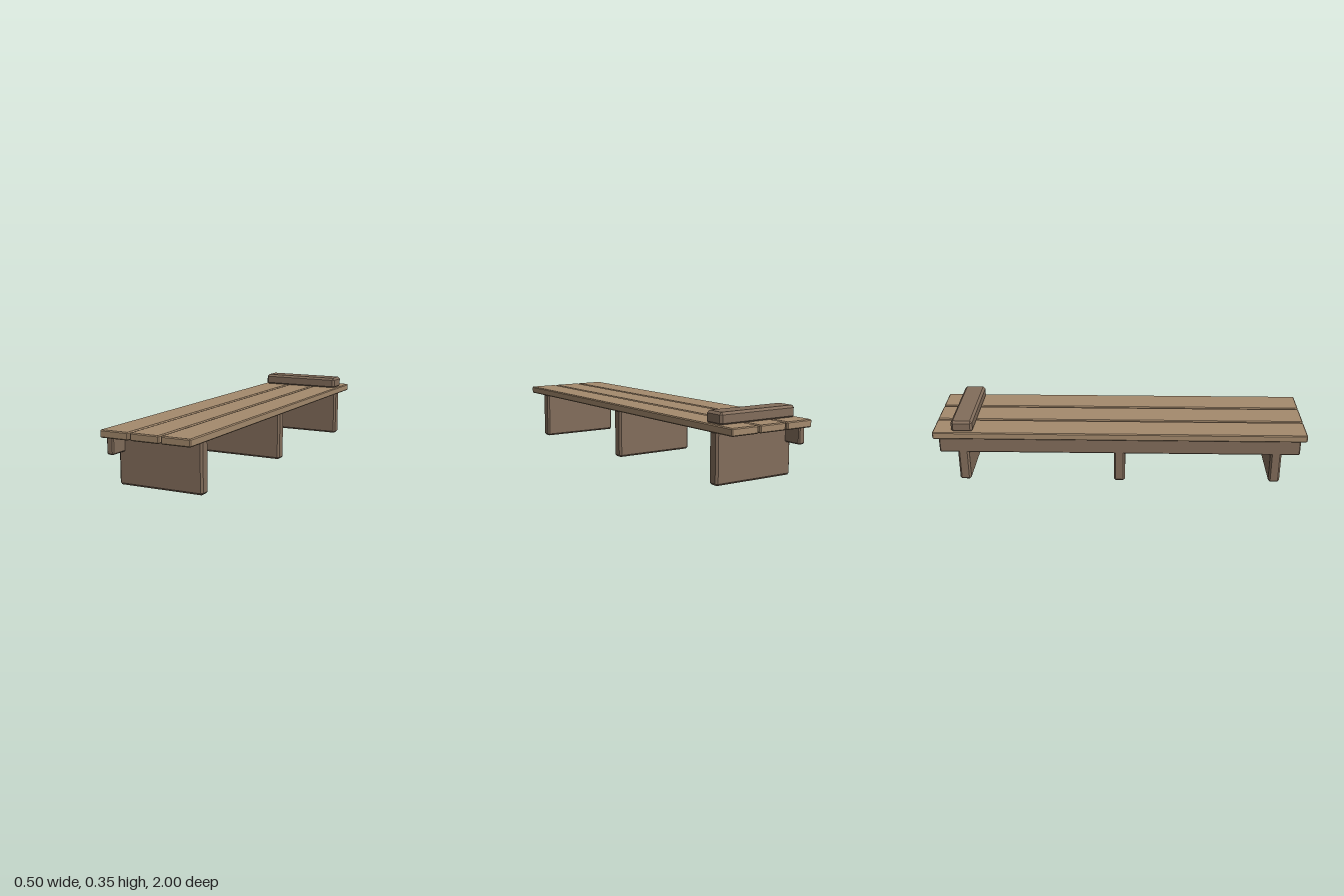
import * as THREE from 'three';
import { ConvexGeometry } from 'three/addons/geometries/ConvexGeometry.js';

const plankWood = new THREE.MeshStandardMaterial({ color: 0xa48a6d });
plankWood.name = 'light plank wood';
const frameWood = new THREE.MeshStandardMaterial({ color: 0x826d5b });
frameWood.name = 'dark frame wood';

// Box with flat chamfers of size c on every edge
function chamferBox(w, h, d, c) {
  const points = [];
  const half = [w / 2, h / 2, d / 2];
  for (const sx of [-1, 1]) for (const sy of [-1, 1]) for (const sz of [-1, 1]) {
    for (let axis = 0; axis < 3; axis++) {
      // only the chosen axis reaches the full extent
      const e = half.map((v, i) => (i === axis ? v : v - c));
      points.push(new THREE.Vector3(sx * e[0], sy * e[1], sz * e[2]));
    }
  }
  return new ConvexGeometry(points);
}

export function createModel() {
  const bench = new THREE.Group();
  bench.name = 'bench';

  // Adds a chamfered board given its extents along each axis
  function board(name, material, [x0, x1], [y0, y1], [z0, z1], chamfer) {
    const mesh = new THREE.Mesh(chamferBox(x1 - x0, y1 - y0, z1 - z0, chamfer), material);
    mesh.position.set((x0 + x1) / 2, (y0 + y1) / 2, (z0 + z1) / 2);
    mesh.name = name;
    bench.add(mesh);
  }

  // Three long seat planks
  ['right', 'middle', 'left'].forEach((side, i) => {
    const x = (i - 1) * 0.169;
    board(side + 'SeatPlank', plankWood, [x - 0.079, x + 0.079], [0.255, 0.294], [-1, 1], 0.005);
  });

  // Three cross panels as legs
  ['back', 'middle', 'front'].forEach((place, i) => {
    const z = (i - 1) * 0.843;
    board(place + 'Leg', frameWood, [-0.233, 0.233], [0, 0.261], [z - 0.03, z + 0.03], 0.01);
  });

  // Single stretcher under the right-hand edge
  board('stretcher', frameWood, [-0.233, -0.195], [0.169, 0.261], [-0.97, 0.97], 0.006);

  // Raised bar across the back end
  board('headRest', frameWood, [-0.233, 0.233], [0.289, 0.353], [-0.9, -0.785], 0.012);

  return bench;
}
